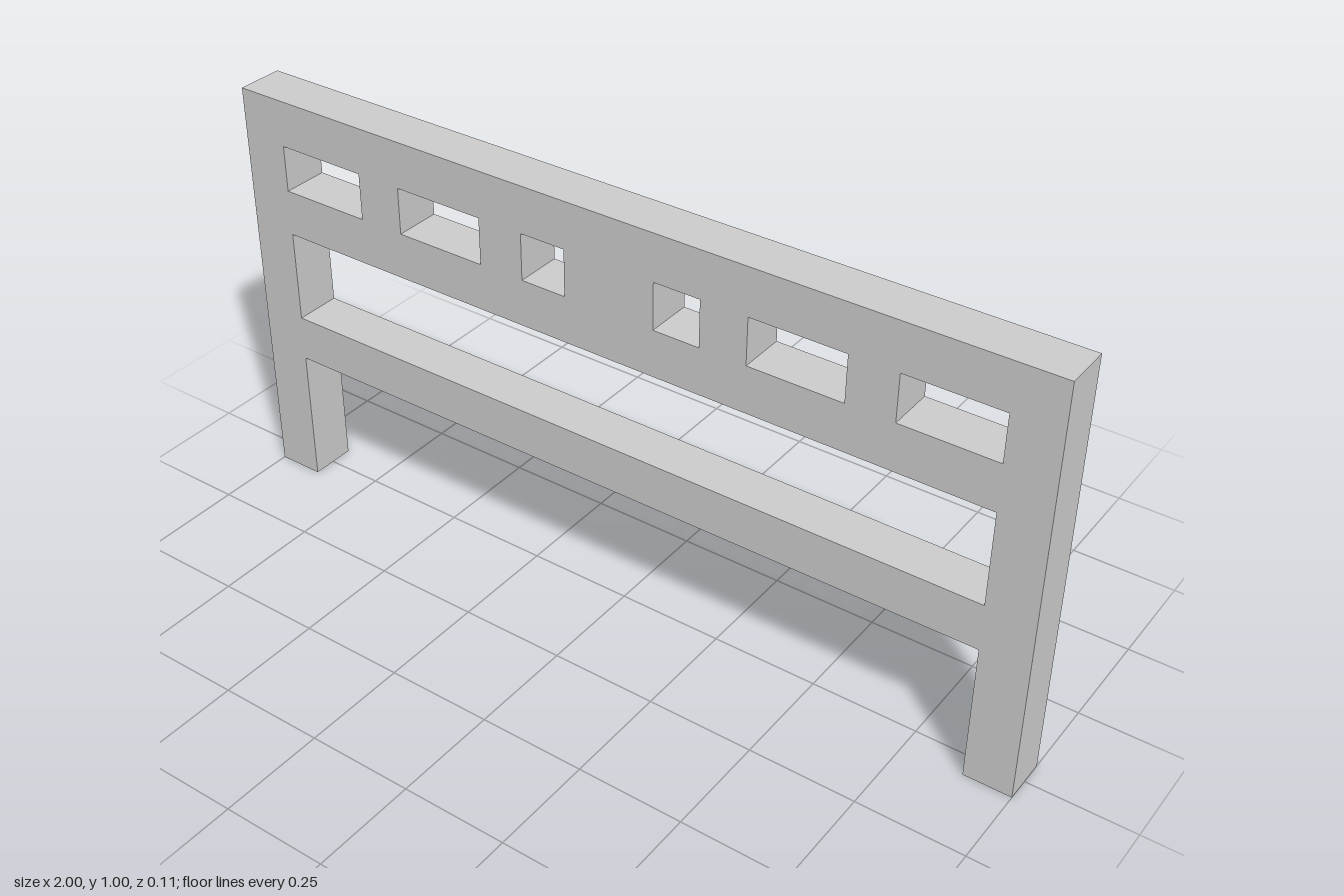
import * as THREE from 'three';

// Everything sits on a square module: 18 wide, 9 high, 1 deep.
const U = 1 / 9;

function rectangle(PathType, x0, x1, y0, y1) {
  return new PathType([[x0, y0], [x1, y0], [x1, y1], [x0, y1]]
    .map(([x, y]) => new THREE.Vector2(x * U, y * U)));
}

export function createModel() {
  const group = new THREE.Group();
  group.name = 'headboard';
  const material = new THREE.MeshStandardMaterial({ color: 0xcccccc, flatShading: true });

  // Outline with two legs and the open space between them
  const outline = new THREE.Shape([
    [-9, 0], [-8, 0], [-8, 3], [8, 3], [8, 0], [9, 0], [9, 9], [-9, 9],
  ].map(([x, y]) => new THREE.Vector2(x * U, y * U)));

  // Wide opening between the lower rail and the top panel
  outline.holes.push(rectangle(THREE.Path, -8, 8, 4, 6));

  // Row of windows in the top panel, mirrored about the middle
  for (const [inner, outer] of [[1, 2], [3, 5], [6, 8]]) {
    outline.holes.push(rectangle(THREE.Path, inner, outer, 7, 8));
    outline.holes.push(rectangle(THREE.Path, -outer, -inner, 7, 8));
  }

  const geometry = new THREE.ExtrudeGeometry(outline, { depth: U, bevelEnabled: false });
  geometry.translate(0, 0, -U / 2);

  const frame = new THREE.Mesh(geometry, material);
  frame.name = 'frame';
  group.add(frame);
  return group;
}
